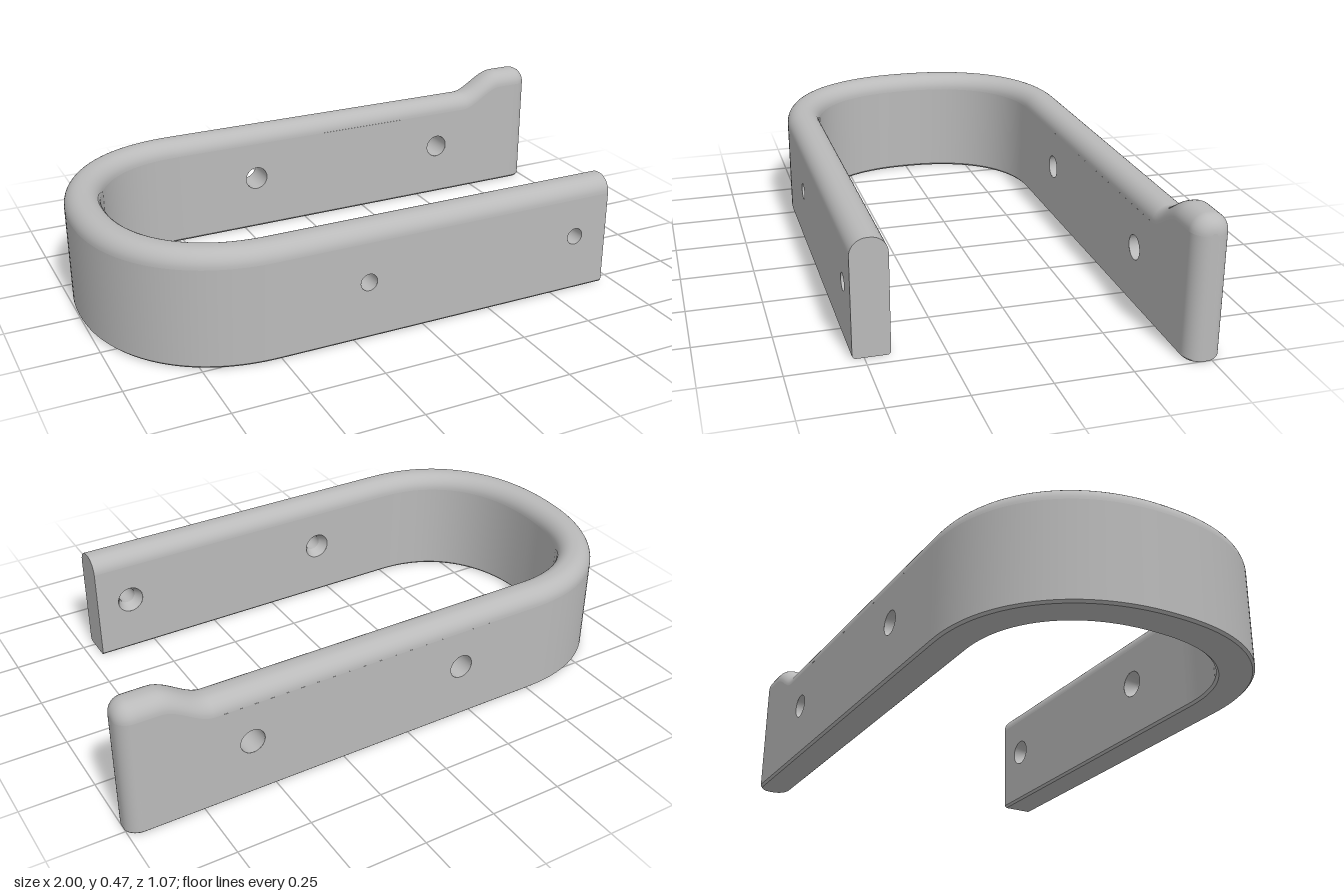
import * as THREE from 'three';

const HALF = 0.06;      // half the strap thickness
const TOP = 0.392;      // strap height
const ROUND = 0.055;    // rounding along the upper edges
const BEVEL = 0.008;    // small bevel at the bottom
const ARM_Z = 0.477;    // centreline of both arms
const BEND_X = -0.5;    // where the arms meet the bend
const END_X = 0.705;    // end of the short arm
const HOLES_X = [-0.2, 0.58];
const HOLE_Y = 0.2;
const SEG = 32;

// Cross-section split into strips, as [outward offset, height]
function section(hw, top) {
  const r = ROUND * hw / HALF, b = BEVEL * hw / HALF, crown = [];
  for (let i = 0; i <= 10; i++) {
    const a = i / 10 * Math.PI / 2;
    crown.push([hw - r + r * Math.cos(a), top - r + r * Math.sin(a)]);
  }
  for (let i = 10; i >= 0; i--) crown.push([-crown[i][0], crown[i][1]]);
  return {
    outerWall: [[hw, b], [hw, top - r]],
    crown,
    innerWall: [[-hw, top - r], [-hw, b]],
    innerBevel: [[-hw, b], [-hw + b, 0]],
    underside: [[-hw + b, 0], [hw - b, 0]],
    outerBevel: [[hw - b, 0], [hw, b]],
  };
}

// Skin one strip of the section along a list of frames
function sweep(frames, strip) {
  const pos = [], idx = [];
  let n = 0;
  for (const f of frames) {
    const pts = section(f.hw, f.top)[strip];
    n = pts.length;
    for (const [s, y] of pts) pos.push(f.x + f.nx * s, y, f.z + f.nz * s);
  }
  for (let i = 0; i < frames.length - 1; i++) {
    for (let j = 0; j < n - 1; j++) {
      const a = i * n + j, b = a + 1, c = a + n, d = c + 1;
      idx.push(a, b, c, b, d, c);
    }
  }
  const g = new THREE.BufferGeometry();
  g.setAttribute('position', new THREE.Float32BufferAttribute(pos, 3));
  g.setIndex(idx);
  g.computeVertexNormals();
  return g;
}

// Bend: superellipse outer edge, centreline offset inward
function bendFrames() {
  const frames = [], a = 0.5, b = ARM_Z + HALF, e = 2.2, steps = 72;
  for (let i = 0; i <= steps; i++) {
    const t = Math.PI / 2 - Math.PI * i / steps;
    const u = Math.pow(Math.max(0, Math.cos(t)), 2 / e);
    const v = Math.sign(Math.sin(t)) * Math.pow(Math.abs(Math.sin(t)), 2 / e);
    let nx = -Math.pow(u, e - 1) / a;
    let nz = Math.sign(v) * Math.pow(Math.abs(v), e - 1) / b;
    const l = Math.hypot(nx, nz);
    nx /= l;
    nz /= l;
    frames.push({ x: BEND_X - a * u - nx * HALF, z: b * v - nz * HALF, nx, nz, hw: HALF, top: TOP });
  }
  return frames;
}

// Raised tip of the long arm with a rounded end
function tipFrames() {
  const frames = [], base = { z: -ARM_Z, nx: 0, nz: -1 }, peak = 0.465;
  for (let i = 0; i <= 16; i++) {
    const x = END_X + (0.95 - END_X) * i / 16;
    const top = TOP + (peak - TOP) * THREE.MathUtils.smoothstep(x, 0.7, 0.87);
    frames.push({ ...base, x, hw: HALF, top });
  }
  for (let i = 1; i <= 10; i++) {
    const a = i / 10 * Math.PI / 2, c = 0.05 * (1 - Math.cos(a));
    frames.push({ ...base, x: 0.95 + 0.05 * Math.sin(a), hw: HALF - c, top: peak - c });
  }
  return frames;
}

// Flat arm side with two round holes, facing +z or -z
function armWall(z, facing, radius) {
  const x0 = BEND_X * facing, x1 = END_X * facing, y1 = TOP - ROUND;
  const shape = new THREE.Shape();
  shape.moveTo(x0, BEVEL).lineTo(x1, BEVEL).lineTo(x1, y1).lineTo(x0, y1).closePath();
  for (const x of HOLES_X) {
    const hole = new THREE.Path();
    hole.absarc(x * facing, HOLE_Y, radius, 0, Math.PI * 2, true);
    shape.holes.push(hole);
  }
  const g = new THREE.ShapeGeometry(shape, SEG);
  if (facing < 0) g.rotateY(Math.PI);
  return g.translate(0, 0, z);
}

// Hole lining between two depths, seen from inside
function lining(x, r0, z0, r1, z1) {
  const pts = [new THREE.Vector2(r0, z0), new THREE.Vector2(r1, z1)];
  return new THREE.LatheGeometry(pts, SEG).rotateX(Math.PI / 2).translate(x, HOLE_Y, 0);
}

// Flat end face, facing +x
function endCap(f) {
  const pts = Object.values(section(f.hw, f.top)).flatMap((s) => s.slice(0, -1));
  const shape = new THREE.Shape(pts.map(([s, y]) => new THREE.Vector2(s, y)));
  return new THREE.ShapeGeometry(shape).rotateY(Math.PI / 2).translate(f.x, 0, f.z);
}

export function createModel() {
  const group = new THREE.Group();
  group.name = 'wallHook';
  const grey = new THREE.MeshStandardMaterial({ color: 0xbababa, side: THREE.DoubleSide });
  grey.name = 'grey';
  const add = (name, geometry) => {
    const mesh = new THREE.Mesh(geometry, grey);
    mesh.name = name;
    group.add(mesh);
  };

  const bend = bendFrames(), tip = tipFrames();
  const start = { x: END_X, z: ARM_Z, nx: 0, nz: 1, hw: HALF, top: TOP };
  const whole = [start, ...bend, ...tip];

  // Rounded top and bevelled underside run the full length
  for (const strip of ['crown', 'innerBevel', 'underside', 'outerBevel']) add(strip, sweep(whole, strip));

  // Plain walls of the bend and the tip
  for (const strip of ['outerWall', 'innerWall']) {
    add('bend ' + strip, sweep(bend, strip));
    add('tip ' + strip, sweep(tip, strip));
  }

  // Drilled walls: countersunk screw holes in front, access holes behind
  const far = ARM_Z + HALF, near = ARM_Z - HALF;
  const screw = 0.029, sink = 0.047, access = 0.042, sinkEnd = near + 0.035;
  add('mountingArm outerWall', armWall(far, 1, screw));
  add('mountingArm innerWall', armWall(near, -1, sink));
  add('hookArm outerWall', armWall(-far, -1, access));
  add('hookArm innerWall', armWall(-near, 1, access));
  for (const x of HOLES_X) {
    add('screwHole', lining(x, screw, far, screw, sinkEnd));
    add('countersink', lining(x, screw, sinkEnd, sink, near));
    add('accessHole', lining(x, access, -near, access, -far));
  }

  // End faces
  add('mountingArm end', endCap(start));
  add('tip end', endCap(tip[tip.length - 1]));
  return group;
}
